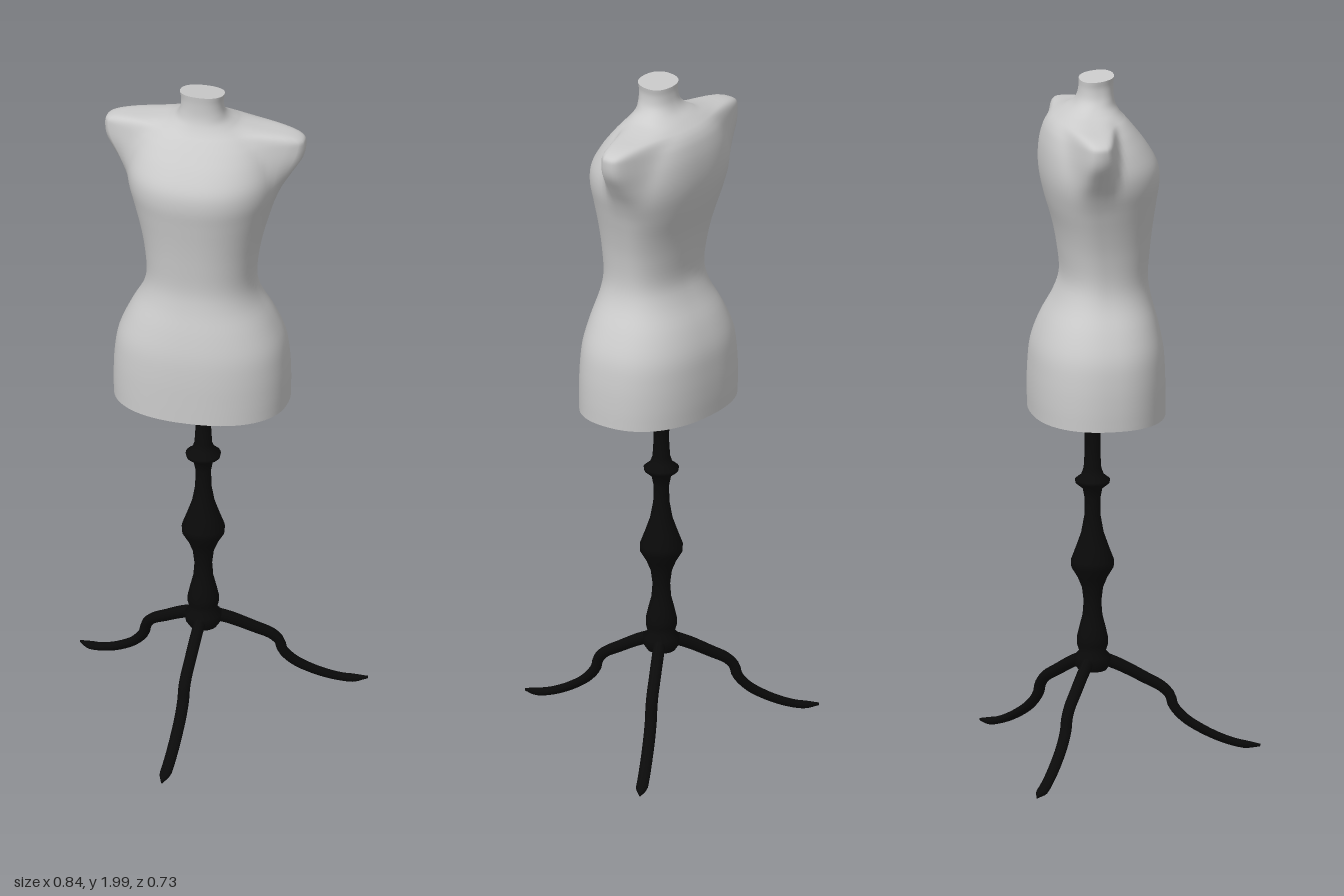
import * as THREE from 'three';

const AXIS_Z = -0.12;
const grey = new THREE.MeshStandardMaterial({ color: 0xcccccc });
const black = new THREE.MeshStandardMaterial({ color: 0x0a0a0a });

// Skin a list of equal-length rings; both ends get separate flat caps
function loft(rings) {
  const n = rings[0].length;
  const pos = [], idx = [];
  rings.forEach(r => r.forEach(p => pos.push(p.x, p.y, p.z)));
  for (let i = 0; i < rings.length - 1; i++) {
    for (let j = 0; j < n; j++) {
      const k = (j + 1) % n;
      const a = i * n + j, b = i * n + k, c = a + n, d = b + n;
      idx.push(a, c, b, b, c, d);
    }
  }
  [rings[0], rings[rings.length - 1]].forEach((ring, end) => {
    const base = pos.length / 3;
    const mid = new THREE.Vector3();
    ring.forEach(p => { pos.push(p.x, p.y, p.z); mid.addScaledVector(p, 1 / n); });
    pos.push(mid.x, mid.y, mid.z);
    for (let j = 0; j < n; j++) {
      const a = base + j, b = base + (j + 1) % n;
      idx.push(base + n, end ? b : a, end ? a : b);
    }
  });
  const g = new THREE.BufferGeometry();
  g.setAttribute('position', new THREE.Float32BufferAttribute(pos, 3));
  g.setIndex(idx);
  g.computeVertexNormals();
  return g;
}

function mesh(name, geometry, material) {
  const m = new THREE.Mesh(geometry, material);
  m.name = name;
  return m;
}

// Torso levels: y, half width, front z, back z, shoulder stub reach
const LEVELS = [
  [1.02, 0.25, 0.08, -0.298, 0],
  [1.08, 0.251, 0.08, -0.3, 0],
  [1.15, 0.248, 0.079, -0.298, 0],
  [1.22, 0.237, 0.074, -0.29, 0],
  [1.29, 0.207, 0.06, -0.265, 0],
  [1.36, 0.169, 0.042, -0.228, 0],
  [1.42, 0.156, 0.034, -0.21, 0],
  [1.50, 0.163, 0.04, -0.217, 0],
  [1.57, 0.178, 0.048, -0.23, 0],
  [1.64, 0.198, 0.058, -0.25, 0],
  [1.70, 0.215, 0.066, -0.263, 0.008],
  [1.75, 0.217, 0.06, -0.267, 0.036],
  [1.80, 0.204, 0.032, -0.264, 0.079],
  [1.84, 0.184, 0.002, -0.255, 0.106],
  [1.862, 0.165, -0.016, -0.245, 0.118],
  [1.876, 0.148, -0.028, -0.234, 0.095],
  [1.886, 0.13, -0.037, -0.222, 0.035],
  [1.90, 0.105, -0.047, -0.203, 0],
  [1.918, 0.078, -0.056, -0.178, 0],
  [1.94, 0.064, -0.061, -0.164, 0],
  [1.97, 0.06, -0.062, -0.158, 0],
  [1.994, 0.064, -0.06, -0.157, 0],
];

function torsoGeometry() {
  const curve = pick => new THREE.CatmullRomCurve3(
    LEVELS.map(l => new THREE.Vector3(...pick(l))), false, 'catmullrom');
  const sides = curve(l => [l[1], l[0], l[4]]);
  const depth = curve(l => [l[2], l[0], l[3]]);
  const steps = (LEVELS.length - 1) * 4, around = 72;
  const spow = (v, e) => Math.sign(v) * Math.pow(Math.abs(v), e);
  const rings = [];
  for (let i = 0; i <= steps; i++) {
    const s = sides.getPoint(i / steps), d = depth.getPoint(i / steps);
    const zc = THREE.MathUtils.lerp(-0.11, -0.15, THREE.MathUtils.smoothstep(s.y, 1.4, 1.75))
      + 0.04 * THREE.MathUtils.smoothstep(s.y, 1.89, 1.94);
    const tilt = THREE.MathUtils.smoothstep(s.y, 1.93, 1.994) * 0.12;
    const ring = [];
    for (let j = 0; j < around; j++) {
      const a = j / around * Math.PI * 2;
      const c = spow(Math.cos(a), 2 / 2.3), f = spow(Math.sin(a), 2 / 2.3);
      const z = zc + f * (f > 0 ? d.x - zc : zc - d.z);
      // Shoulder stubs swell out of the sides
      const swell = Math.max(0, s.z) * Math.exp(-Math.pow((z + 0.15) / 0.056, 4));
      const x = c * s.x + Math.sign(c) * swell * Math.min(1, Math.abs(c) * 1.5);
      ring.push(new THREE.Vector3(x, s.y + tilt * (z + 0.11), z));
    }
    rings.push(ring);
  }
  return loft(rings);
}

// Turned column: radius, y
const COLUMN = [
  [0.04, 0.26], [0.05, 0.275], [0.052, 0.3], [0.038, 0.315], [0.044, 0.335], [0.044, 0.355],
  [0.037, 0.385], [0.028, 0.42], [0.025, 0.46], [0.03, 0.5], [0.042, 0.53], [0.06, 0.56],
  [0.061, 0.58], [0.046, 0.62], [0.032, 0.66], [0.023, 0.71], [0.022, 0.76], [0.028, 0.79],
  [0.048, 0.806], [0.05, 0.816], [0.032, 0.83], [0.025, 0.85], [0.022, 0.9], [0.023, 0.95],
  [0.03, 0.985], [0.055, 0.998], [0.075, 1.008], [0.078, 1.02],
];

function columnGeometry() {
  const pts = COLUMN.map(p => new THREE.Vector2(...p));
  return new THREE.LatheGeometry(
    [new THREE.Vector2(0, 0.26), ...pts, new THREE.Vector2(0, 1.02)], 24);
}

// Leg running out along +z with a stepped knee and a pointed toe
function legGeometry() {
  const path = new THREE.CatmullRomCurve3([
    [0.02, 0.295], [0.08, 0.268], [0.15, 0.228], [0.2, 0.198], [0.223, 0.172],
    [0.232, 0.142], [0.265, 0.103], [0.315, 0.068], [0.375, 0.037], [0.43, 0.018], [0.482, 0.011],
  ].map(([z, y]) => new THREE.Vector3(0, y, z)));
  const steps = 36, rings = [];
  for (let i = 0; i <= steps; i++) {
    const t = i / steps, p = path.getPointAt(t), d = path.getTangentAt(t);
    const toe = Math.min(1, (1 - t) / 0.07);
    const w = 0.002 + 0.015 * toe;
    const h = (0.019 - 0.009 * t) * (0.4 + 0.6 * toe);
    const ring = [];
    for (let j = 0; j < 10; j++) {
      const a = j / 10 * Math.PI * 2, v = Math.sin(a) * h;
      ring.push(new THREE.Vector3(-Math.cos(a) * w, p.y + d.z * v, p.z - d.y * v));
    }
    rings.push(ring);
  }
  return loft(rings);
}

export function createModel() {
  const model = new THREE.Group();
  model.name = 'dressForm';
  model.add(mesh('torso', torsoGeometry(), grey));

  const stand = new THREE.Group();
  stand.name = 'stand';
  stand.position.z = AXIS_Z;
  stand.add(mesh('column', columnGeometry(), black));
  const leg = legGeometry();
  ['frontLeg', 'leftLeg', 'rightLeg'].forEach((name, i) => {
    const m = mesh(name, leg, black);
    m.rotation.y = i * Math.PI * 2 / 3;
    stand.add(m);
  });
  model.add(stand);
  return model;
}
